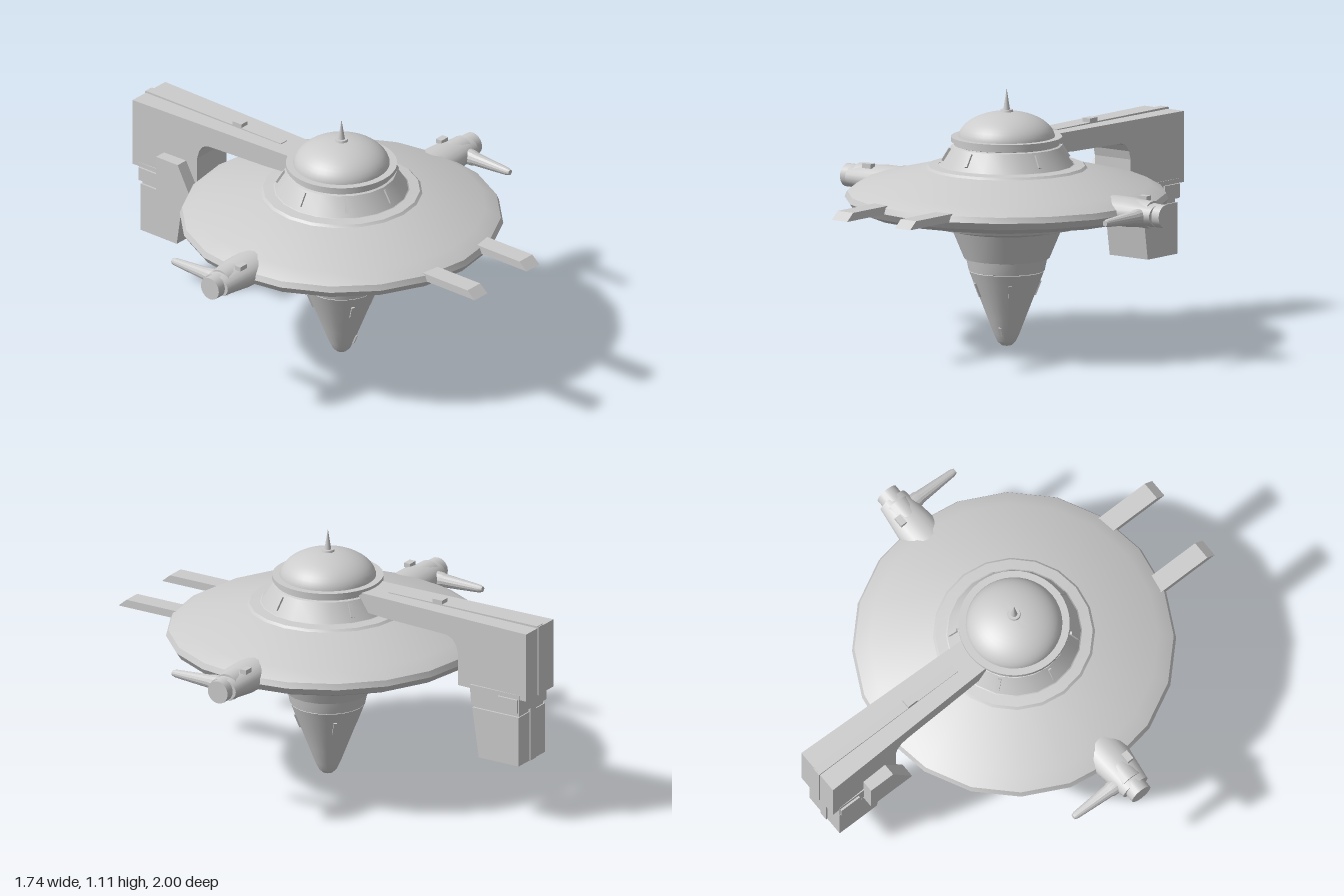
import * as THREE from 'three';
import { toCreasedNormals } from 'three/addons/utils/BufferGeometryUtils.js';

const material = new THREE.MeshStandardMaterial({ color: 0xcccccc, side: THREE.DoubleSide });
const CZ = 0.08; // z of the hull axis

function add(parent, name, geometry, x = 0, y = 0, z = 0) {
  const mesh = new THREE.Mesh(geometry, material);
  mesh.name = name;
  mesh.position.set(x, y, z);
  parent.add(mesh);
  return mesh;
}

// Revolved profile of [radius, height] pairs, with sharp edges kept
function lathe(profile, sides, crease = 0.4) {
  const points = profile.map(([r, y]) => new THREE.Vector2(r, y));
  return toCreasedNormals(new THREE.LatheGeometry(points, sides), crease);
}

// Side profile of [z, y] pairs, given thickness from x0 to x1
function sideSlab(profile, x0, x1) {
  const shape = new THREE.Shape(profile.map(([z, y]) => new THREE.Vector2(-z, y)));
  const geometry = new THREE.ExtrudeGeometry(shape, { depth: x1 - x0, bevelEnabled: false });
  return geometry.rotateY(Math.PI / 2).translate(x0, 0, 0);
}

// Narrow the slab towards the hull
function taperForward(geometry, rearZ, frontZ, frontScale) {
  const p = geometry.attributes.position;
  for (let i = 0; i < p.count; i++) {
    const t = (p.getZ(i) - rearZ) / (frontZ - rearZ);
    p.setX(i, p.getX(i) * THREE.MathUtils.lerp(1, frontScale, t));
  }
  geometry.computeVertexNormals();
  return geometry;
}

// Small upright box lying on a conical wall; lean follows the slope
function addSlot(parent, name, degrees, radius, y, lean, height) {
  const pivot = new THREE.Group();
  pivot.name = name;
  pivot.rotation.y = THREE.MathUtils.degToRad(degrees);
  parent.add(pivot);
  add(pivot, name + 'Bar', new THREE.BoxGeometry(0.014, height, 0.014), 0, y, radius).rotation.x = lean;
}

function createHull() {
  const hull = new THREE.Group();
  hull.name = 'hull';
  hull.position.z = CZ;

  add(hull, 'saucer', lathe([
    [0.23, 0.505], [0.34, 0.53], [0.345, 0.54], [0.62, 0.588], [0.67, 0.61], [0.69, 0.64],
    [0.68, 0.665], [0.615, 0.703], [0.345, 0.77], [0.335, 0.78], [0.29, 0.785],
  ], 20));
  add(hull, 'collar', lathe([[0.3, 0.775], [0.285, 0.785], [0.235, 0.865], [0.205, 0.875]], 20));
  add(hull, 'domeRing', lathe([
    [0.21, 0.865], [0.225, 0.87], [0.225, 0.885], [0.237, 0.885], [0.237, 0.905], [0.2, 0.905],
  ], 40));

  const dome = [];
  for (let i = 0; i <= 12; i++) {
    const a = (i / 12) * Math.PI / 2;
    dome.push([0.207 * Math.cos(a), 0.895 + 0.117 * Math.sin(a)]);
  }
  add(hull, 'dome', lathe(dome, 40));
  add(hull, 'spireBase', new THREE.CylinderGeometry(0.026, 0.03, 0.014, 16), 0, 1.013, 0);
  add(hull, 'spire', new THREE.ConeGeometry(0.015, 0.095, 16), 0, 1.064, 0);

  // Stepped cone under the saucer
  add(hull, 'keelUpper', lathe([
    [0.235, 0.507], [0.183, 0.382], [0.173, 0.38], [0.162, 0.328], [0.15, 0.325],
  ], 20));
  add(hull, 'keelTip', lathe([
    [0, 0], [0.022, 0.005], [0.038, 0.02], [0.055, 0.055], [0.082, 0.125],
    [0.115, 0.21], [0.143, 0.28], [0.16, 0.325], [0.15, 0.33],
  ], 24));

  for (const a of [0, 70, -90, -143, 145, -45]) addSlot(hull, 'collarSlot', a, 0.258, 0.83, -0.55, 0.062);
  for (const a of [-30, 45, 135, -135]) addSlot(hull, 'keelSlot', a, 0.13, 0.25, 0.38, 0.065);
  addSlot(hull, 'tipSlot', 15, 0.06, 0.07, 0.38, 0.04);
  return hull;
}

// Side pod pointing to +x with a forward gun; turned half round for the other side
function createPod(name) {
  const pod = new THREE.Group();
  pod.name = name;
  const body = lathe([[0, 0.5], [0.09, 0.5], [0.088, 0.68], [0.066, 0.83], [0, 0.83]], 20);
  const housing = add(pod, 'podHousing', body.rotateZ(-Math.PI / 2).scale(1, 0.72, 1));
  housing.position.y = 0.648;
  const barrel = new THREE.CylinderGeometry(0.06, 0.06, 0.24, 20).rotateZ(Math.PI / 2);
  add(pod, 'podBarrel', barrel, 0.68, 0.648, 0);
  const cap = new THREE.CylinderGeometry(0.05, 0.05, 0.08, 20).rotateZ(Math.PI / 2);
  add(pod, 'podCap', cap, 0.83, 0.648, 0);
  add(pod, 'podHatch', new THREE.BoxGeometry(0.045, 0.02, 0.03), 0.718, 0.708, -0.045);
  const gun = lathe([[0, 0.03], [0.036, 0.03], [0.033, 0.09], [0.029, 0.1], [0.017, 0.275], [0.012, 0.29], [0, 0.29]], 14);
  add(pod, 'gun', gun.rotateX(Math.PI / 2), 0.77, 0.645, 0);
  pod.position.z = CZ;
  return pod;
}

function createTail() {
  const tail = new THREE.Group();
  tail.name = 'tail';

  // Boom and upper pylon in one slab, with a rounded inner corner
  const arm = sideSlab([
    [-0.13, 0.892], [-0.99, 0.886], [-0.99, 0.58], [-0.64, 0.58], [-0.64, 0.72],
    [-0.63, 0.757], [-0.61, 0.785], [-0.58, 0.797], [-0.27, 0.803], [-0.13, 0.81],
  ], -0.108, 0.108);
  add(tail, 'boom', taperForward(arm, -0.99, -0.13, 0.76));
  add(tail, 'boomRidge', new THREE.BoxGeometry(0.04, 0.02, 0.75), 0, 0.885, -0.615);
  add(tail, 'boomHatch', new THREE.BoxGeometry(0.04, 0.03, 0.05), 0, 0.897, -0.485);
  add(tail, 'rearStrip', new THREE.BoxGeometry(0.04, 0.31, 0.02), 0, 0.737, -0.985);

  // Lower pylon with a collar band and rear strip
  add(tail, 'pylonBand', sideSlab([[-0.705, 0.6], [-0.955, 0.6], [-0.955, 0.515], [-0.712, 0.515]], -0.108, 0.108));
  add(tail, 'pylonJoint', sideSlab([[-0.72, 0.52], [-0.945, 0.52], [-0.945, 0.49], [-0.72, 0.49]], -0.095, 0.095));
  add(tail, 'pylonFoot', sideSlab([[-0.715, 0.497], [-0.95, 0.497], [-0.95, 0.275], [-0.748, 0.275]], -0.104, 0.104));
  add(tail, 'footStrip', new THREE.BoxGeometry(0.04, 0.32, 0.02), 0, 0.437, -0.947);
  for (const s of [-1, 1]) {
    add(tail, 'sidePlate', new THREE.BoxGeometry(0.02, 0.06, 0.1), s * 0.107, 0.55, -0.9);
  }
  // Slanted brace on the right side only
  add(tail, 'brace', sideSlab([[-0.597, 0.495], [-0.7, 0.69], [-0.82, 0.69], [-0.82, 0.495]], -0.155, -0.09));
  return tail;
}

export function createModel() {
  const model = new THREE.Group();
  model.name = 'saucerCraft';
  model.add(createHull(), createTail());

  const leftPod = createPod('leftPod');
  const rightPod = createPod('rightPod');
  rightPod.rotation.y = Math.PI;
  model.add(leftPod, rightPod);

  // Front prongs with slanted tips
  for (const s of [-1, 1]) {
    const prong = sideSlab([[0.6, 0.64], [1.0, 0.64], [0.96, 0.674], [0.6, 0.674]], -0.042, 0.042);
    add(model, s > 0 ? 'leftProng' : 'rightProng', prong, s * 0.172, 0, 0);
  }
  return model;
}
